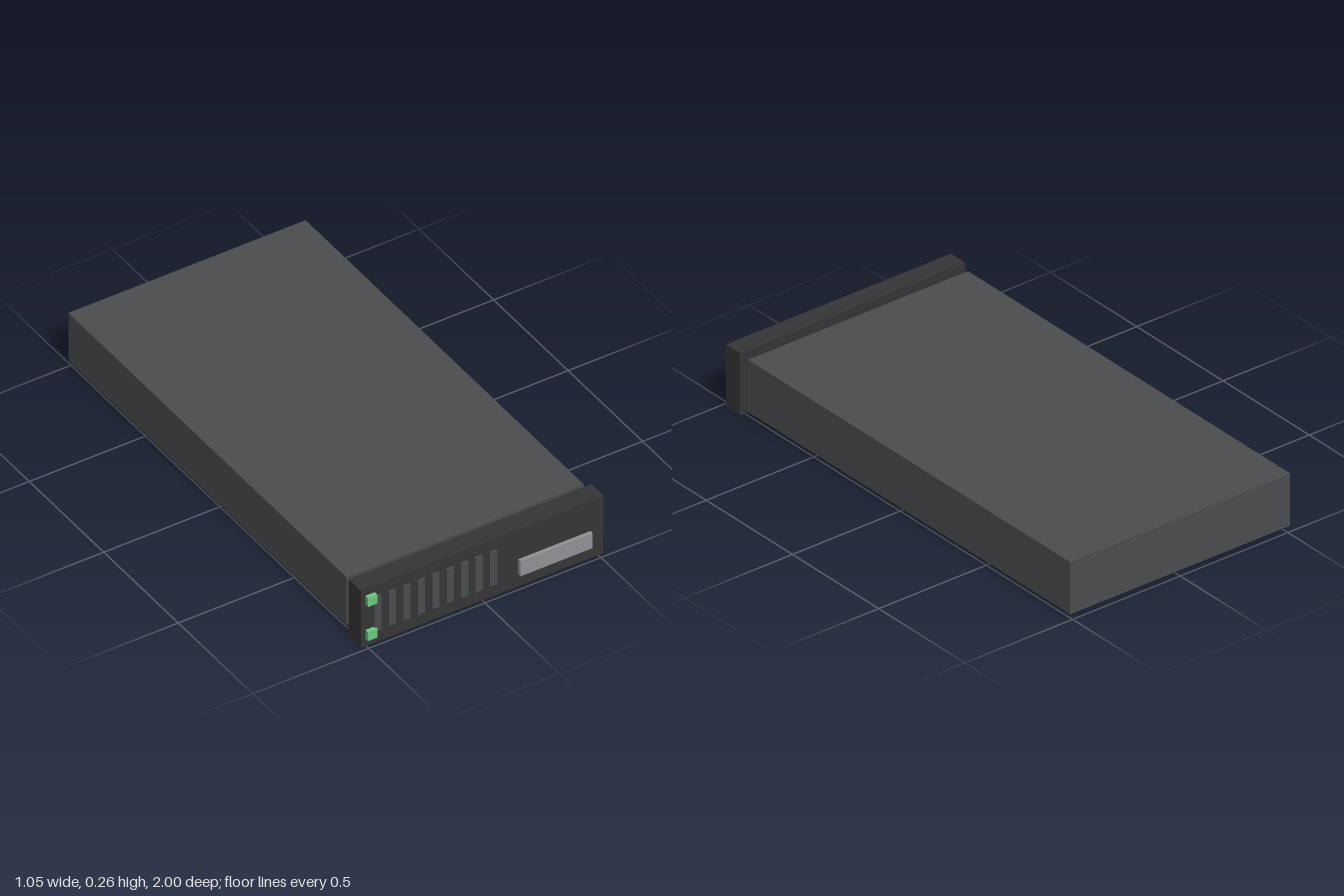
import * as THREE from 'three';

export function createModel() {
  const group = new THREE.Group();
  const paint = (color) => new THREE.MeshStandardMaterial({ color });
  const casing = paint(0x4b4c4e);
  const dark = paint(0x353537);
  const silver = paint(0x929296);
  const green = paint(0x6cc880);

  // Box given by its lower and upper limits on each axis
  function box(name, material, [x0, x1], [y0, y1], [z0, z1]) {
    const mesh = new THREE.Mesh(new THREE.BoxGeometry(x1 - x0, y1 - y0, z1 - z0), material);
    mesh.position.set((x0 + x1) / 2, (y0 + y1) / 2, (z0 + z1) / 2);
    mesh.name = name;
    group.add(mesh);
  }

  // Long casing and the separate front panel, with a narrow gap between
  box('casing', casing, [-0.511, 0.511], [0.025, 0.244], [-1, 0.868]);
  box('frontPanel', dark, [-0.523, 0.523], [0, 0.261], [0.899, 0.982]);

  // Row of upright vent slats
  for (let i = 0; i < 9; i++) {
    const x = -0.469 + i * 0.0622;
    box(`ventSlat${i + 1}`, casing, [x, x + 0.031], [0.055, 0.21], [0.97, 0.99]);
  }

  // Release handle
  box('handle', silver, [0.155, 0.466], [0.055, 0.124], [0.97, 0.997]);

  // Two status lights
  box('upperLight', green, [-0.503, -0.463], [0.19, 0.23], [0.96, 1]);
  box('lowerLight', green, [-0.503, -0.463], [0.034, 0.074], [0.96, 1]);

  return group;
}
